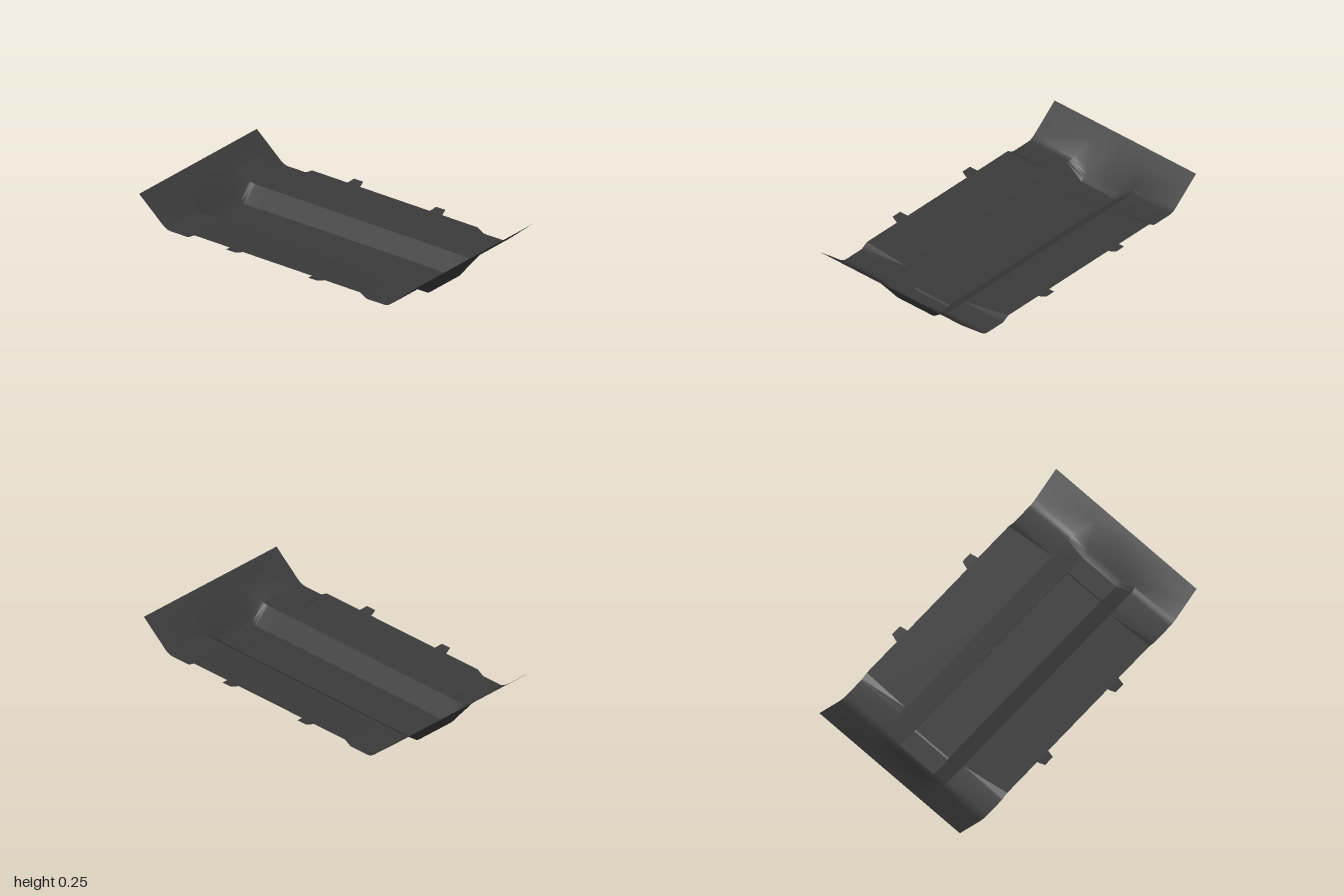
import * as THREE from 'three';
import { toCreasedNormals } from 'three/addons/utils/BufferGeometryUtils.js';

const material = new THREE.MeshStandardMaterial({ color: 0x3a3a3a, side: THREE.DoubleSide });

// Skin a grid of cross-sections (rows of [x, y, z]) into one thin sheet.
function sheet(rows, name) {
  const n = rows[0].length;
  const index = [];
  for (let r = 0; r < rows.length - 1; r++) {
    for (let c = 0; c < n - 1; c++) {
      const a = r * n + c, b = a + 1, d = a + n, e = d + 1;
      index.push(a, d, b, b, d, e);
    }
  }
  const geometry = new THREE.BufferGeometry();
  geometry.setAttribute('position', new THREE.Float32BufferAttribute(rows.flat(2), 3));
  geometry.setIndex(index);
  const mesh = new THREE.Mesh(toCreasedNormals(geometry, 0.5), material);
  mesh.name = name;
  return mesh;
}

// Half-length stations: z, channel floor x and y, floor step, channel lip x and y, outer edge y
const stations = [
  [0.60, 0.13, 0, 0.006, 0.24, 0.082, 0.108],
  [0.64, 0.13, 0, 0.006, 0.24, 0.082, 0.084],
  [0.65, 0.13, 0, 0, 0.24, 0.082, 0.082],
  [0.77, 0.13, 0, 0, 0.24, 0.082, 0.082],
  [0.79, 0.13, 0.014, 0, 0.24, 0.084, 0.084],
  [0.81, 0.134, 0.037, 0, 0.235, 0.092, 0.092],
  [0.83, 0.138, 0.064, 0, 0.223, 0.106, 0.106],
  [0.93, 0.165, 0.191, 0, 0.166, 0.191, 0.191],
  [1.00, 0.165, 0.25, 0, 0.166, 0.25, 0.25],
];

// One full cross-section, mirrored left to right
function section([z, fx, fy, step, lx, ly, ey], side) {
  const half = [[0, fy + step], [fx - 0.003, fy + step], [fx, fy], [lx, ly], [0.54, ey]];
  const right = half.slice(1).reverse().map(([x, y]) => [-x, y, z * side]);
  return [...right, ...half.map(([x, y]) => [x, y, z * side])];
}

export function createModel() {
  const model = new THREE.Group();
  model.name = 'underbodyGuard';

  // Pressed plate with central channel and upswept ends
  const rows = [
    ...[...stations].reverse().map((s) => section(s, -1)),
    ...stations.map((s) => section(s, 1)),
  ];
  model.add(sheet(rows, 'plate'));

  // Tapered mounting tabs along both sides
  for (const side of [-1, 1]) {
    for (const z of [-0.3, 0.295]) {
      const profile = [[0.53, 0.105, 0.046], [0.55, 0.107, 0.044], [0.588, 0.118, 0.033]];
      if (side < 0) profile.reverse();
      const tab = sheet([-1, 1].map((e) => profile.map(([x, y, w]) => [x * side, y, z + e * w])), 'mountingTab');
      model.add(tab);
    }
  }
  return model;
}
